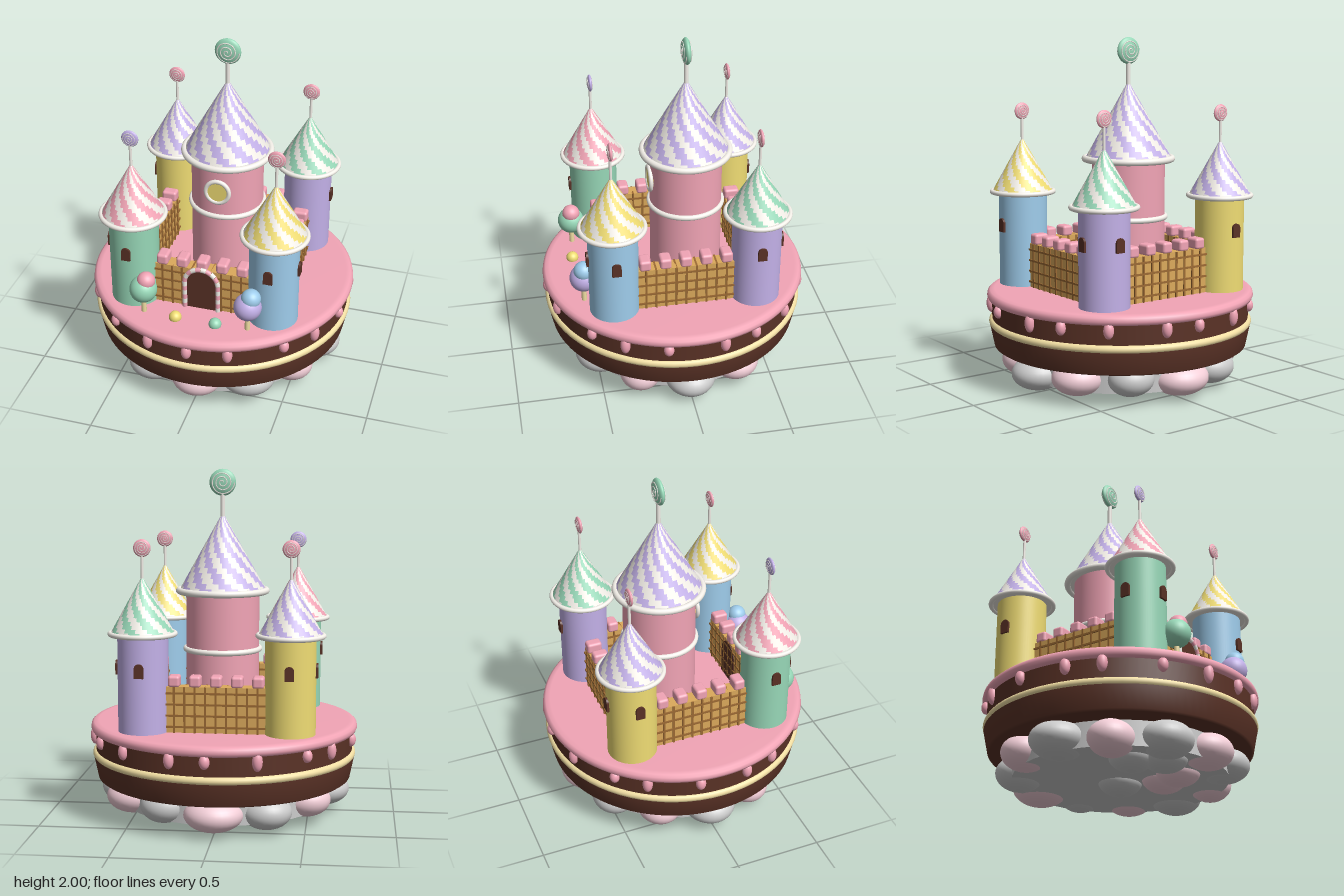
import * as THREE from 'three';
import { mergeGeometries } from 'three/addons/utils/BufferGeometryUtils.js';
import { RoundedBoxGeometry } from 'three/addons/geometries/RoundedBoxGeometry.js';

const C = {
  pink: 0xf2a5b6, mint: 0x98d8b8, blue: 0x9fcdec, purple: 0xc3b1e8, yellow: 0xf0dd74,
  choc: 0x5a3226, cream: 0xf2dfa4, white: 0xf3efe8, waffle: 0xdcaa5c, bar: 0x9c6a34,
  cloudPink: 0xf3cfd8, grey: 0xcccccc,
};

function add(parent, name, geo, color, x = 0, y = 0, z = 0) {
  const mesh = new THREE.Mesh(geo, new THREE.MeshStandardMaterial({ color }));
  mesh.name = name;
  mesh.position.set(x, y, z);
  parent.add(mesh);
  return mesh;
}

function group(parent, name, x = 0, y = 0, z = 0) {
  const g = new THREE.Group();
  g.name = name;
  g.position.set(x, y, z);
  parent.add(g);
  return g;
}

const cyl = (r, h, seg = 48) => new THREE.CylinderGeometry(r, r, h, seg);
const ball = (r) => new THREE.SphereGeometry(r, 32, 20);
const ring = (r, tube) => new THREE.TorusGeometry(r, tube, 14, 72).rotateX(Math.PI / 2);
const lathe = (pts) => new THREE.LatheGeometry(pts.map(([r, y]) => new THREE.Vector2(r, y)), 96);

// Round-topped slab standing on y = 0, its back at z = 0
function archSlab(halfWidth, height, depth) {
  const s = new THREE.Shape();
  s.moveTo(-halfWidth, 0);
  s.lineTo(halfWidth, 0);
  s.lineTo(halfWidth, height - halfWidth);
  s.absarc(0, height - halfWidth, halfWidth, 0, Math.PI, false);
  s.closePath();
  return new THREE.ExtrudeGeometry(s, { depth, bevelEnabled: false, curveSegments: 16 });
}

// Cone split into two meshes of stepped, swirling stripes
function swirlRoof(parent, r, h, y, stripes, color) {
  const cols = 80, rows = 16, twist = 0.33;
  const cone = new THREE.ConeGeometry(r, h, cols, rows, true).toNonIndexed();
  const { position, normal, uv } = cone.attributes;
  const parts = [{ p: [], n: [] }, { p: [], n: [] }];
  for (let i = 0; i < position.count; i += 3) {
    const u = (uv.getX(i) + uv.getX(i + 1) + uv.getX(i + 2)) / 3;
    const v = (uv.getY(i) + uv.getY(i + 1) + uv.getY(i + 2)) / 3;
    const cu = (Math.floor(u * cols) + 0.5) / cols;
    const cv = (Math.floor(v * rows) + 0.5) / rows;
    const k = Math.floor((cu - twist * (1 - cv) + 1) * stripes * 2) % 2;
    for (let j = i; j < i + 3; j++) {
      parts[k].p.push(position.getX(j), position.getY(j), position.getZ(j));
      parts[k].n.push(normal.getX(j), normal.getY(j), normal.getZ(j));
    }
  }
  parts.forEach(({ p, n }, k) => {
    const g = new THREE.BufferGeometry();
    g.setAttribute('position', new THREE.Float32BufferAttribute(p, 3));
    g.setAttribute('normal', new THREE.Float32BufferAttribute(n, 3));
    add(parent, k ? 'roofWhiteStripes' : 'roofColourStripes', g, k ? C.white : color, 0, y + h / 2, 0);
  });
}

// Lens-shaped sweet with a raised spiral on both faces, on a stick
function lollipop(parent, r, thick, y, stickBase, color) {
  const g = group(parent, 'lollipopFinial', 0, y, 0);
  add(g, 'lollipopStick', cyl(r * 0.17, y - stickBase, 12), C.white, 0, (stickBase - y) / 2, 0);
  add(g, 'lollipopSweet', ball(r).scale(1, 1, thick / r), color);
  const pts = [];
  for (let i = 0; i <= 60; i++) {
    const t = i / 60, a = t * Math.PI * 6, q = 0.06 + 0.84 * t;
    pts.push(new THREE.Vector3(Math.cos(a) * q * r, Math.sin(a) * q * r, thick * Math.sqrt(1 - q * q)));
  }
  const swirl = new THREE.TubeGeometry(new THREE.CatmullRomCurve3(pts), 110, r * 0.045, 5);
  add(g, 'lollipopSwirl', swirl, C.white);
  add(g, 'lollipopSwirl', swirl, C.white).rotation.y = Math.PI;
}

// Body, eave ring, swirl roof and finial; o holds the sizes
function tower(root, name, x, z, o) {
  const g = group(root, name, x, 0, z);
  add(g, 'towerBody', cyl(o.r, o.top - 0.54, 64), o.body, 0, (o.top + 0.54) / 2, 0);
  add(g, 'eaveUnderside', cyl(o.eave, 0.01, 64), C.white, 0, o.top, 0);
  add(g, 'eaveRing', ring(o.eave, o.tube), C.white, 0, o.top, 0);
  swirlRoof(g, o.eave, o.roofH, o.top, o.stripes, o.roof);
  lollipop(g, o.popR, o.popThick, o.popY, o.top + o.roofH - 0.03, o.pop);
  return g;
}

// Waffle wall along x with grid bars and rounded battlements
function wall(root, name, x, z, turn) {
  const g = group(root, name, x, 0.55, z);
  g.rotation.y = turn;
  const len = 0.58, h = 0.26, d = 0.08;
  add(g, 'waffleWall', new THREE.BoxGeometry(len, h, d), C.waffle, 0, h / 2, 0);
  const bars = [];
  for (let i = -4; i <= 4; i++) {
    bars.push(new THREE.BoxGeometry(0.011, h, d + 0.014).translate(i * 0.058, h / 2, 0));
  }
  for (let i = 0; i < 4; i++) {
    bars.push(new THREE.BoxGeometry(len, 0.011, d + 0.014).translate(0, 0.035 + i * 0.063, 0));
  }
  add(g, 'waffleGrid', mergeGeometries(bars), C.bar);
  for (let i = -2; i <= 2; i++) {
    add(g, 'battlement', new RoundedBoxGeometry(0.066, 0.065, 0.09, 3, 0.016), C.pink, i * 0.117, h + 0.028, 0);
  }
}

function tree(root, x, z, color, topX, topColor, topR) {
  const g = group(root, 'sweetTree', x, 0.55, z);
  add(g, 'trunk', cyl(0.015, 0.12, 16), C.cream, 0, 0.05, 0);
  add(g, 'crown', ball(0.079), color, 0, 0.155, 0);
  add(g, 'crownTop', ball(topR), topColor, topX, 0.215, 0);
}

export function createModel() {
  const root = new THREE.Group();
  root.name = 'candyCastle';

  // Cloud base
  const clouds = group(root, 'cloudBase');
  add(clouds, 'cloudCore', cyl(0.6, 0.15, 48), C.grey, 0, 0.145, 0);
  for (let i = 0; i < 12; i++) {
    const a = (i * Math.PI) / 6, w = 0.15 + 0.018 * Math.sin(i * 2.3);
    const puff = add(clouds, 'cloudPuff', ball(1), i % 2 ? C.grey : C.cloudPink,
      0.57 * Math.sin(a), 0.135 + 0.015 * Math.sin(i * 1.7), 0.56 * Math.cos(a));
    puff.scale.set(w, 0.098, w * 0.92);
  }
  [[0.04, -0.03, 0], [0.13, 0.2, 1], [0.07, 0.33, 1], [-0.28, 0.26, 0], [-0.17, 0.4, 0]].forEach(([x, z, p]) => {
    add(clouds, 'lowerPuff', ball(1), p ? C.cloudPink : C.grey, x, 0.085, z).scale.set(0.13, 0.08, 0.12);
  });

  // Cake layers
  const cake = group(root, 'cake');
  add(cake, 'lowerCake', lathe([[0, 0.21], [0.725, 0.21], [0.74, 0.22], [0.765, 0.34], [0.75, 0.36], [0, 0.36]]), C.choc);
  add(cake, 'upperCake', cyl(0.752, 0.16, 96), C.choc, 0, 0.43, 0);
  add(cake, 'creamFilling', ring(0.748, 0.023), C.cream, 0, 0.36, 0);
  add(cake, 'icing', lathe([[0, 0.49], [0.752, 0.49], [0.772, 0.497], [0.78, 0.515], [0.776, 0.535],
    [0.762, 0.547], [0.735, 0.552], [0, 0.552]]), C.pink);
  for (let i = 0; i < 18; i++) {
    const a = (i / 18) * Math.PI * 2 + 0.05 * Math.sin(i * 4.1);
    add(cake, 'icingDrip', ball(1), C.pink, 0.755 * Math.sin(a), 0.463, 0.755 * Math.cos(a))
      .scale.set(0.029, 0.046 + 0.009 * Math.sin(i * 2.7), 0.029);
  }

  // Central tower with its band and round window
  const keep = tower(root, 'centralTower', 0, -0.08, {
    r: 0.21, top: 1.31, eave: 0.25, tube: 0.019, roofH: 0.445, stripes: 10,
    body: C.pink, roof: C.purple, pop: C.mint, popR: 0.076, popThick: 0.026, popY: 1.924,
  });
  add(keep, 'towerBand', ring(0.212, 0.016), C.white, 0, 0.975, 0);
  add(keep, 'windowPane', cyl(0.068, 0.04, 40).rotateX(Math.PI / 2), C.yellow, 0, 1.14, 0.2);
  add(keep, 'windowFrame', new THREE.TorusGeometry(0.068, 0.013, 12, 48), C.white, 0, 1.14, 0.214);

  // Corner towers, each with a window on its two outer sides
  [[-1, 1, C.mint, C.pink, C.purple], [1, 1, C.blue, C.yellow, C.pink],
    [1, -1, C.purple, C.mint, C.pink], [-1, -1, C.yellow, C.purple, C.pink]].forEach(([sx, sz, body, roof, pop]) => {
    const t = tower(root, 'cornerTower', sx * 0.41, sz * 0.41, {
      r: 0.141, top: 1.1, eave: 0.18, tube: 0.014, roofH: 0.32, stripes: 8,
      body, roof, pop, popR: 0.049, popThick: 0.015, popY: 1.572,
    });
    [sx * Math.PI / 2, sz > 0 ? 0 : Math.PI].forEach((turn) => {
      const w = add(t, 'towerWindow', archSlab(0.026, 0.08, 0.03), C.choc,
        0.122 * Math.sin(turn), 0.87, 0.122 * Math.cos(turn));
      w.rotation.y = turn;
    });
  });

  // Walls between the corner towers
  wall(root, 'frontWall', 0, 0.41, 0);
  wall(root, 'backWall', 0, -0.41, 0);
  wall(root, 'leftWall', 0.41, 0, Math.PI / 2);
  wall(root, 'rightWall', -0.41, 0, Math.PI / 2);

  // Gate with a striped cane arch
  const gate = group(root, 'gate', 0, 0.55, 0);
  add(gate, 'door', archSlab(0.085, 0.255, 0.095), C.choc, 0, 0, 0.364);
  const R = 0.098, side = 0.17, total = 2 * side + Math.PI * R, n = 22;
  const at = (s) => {
    if (s < side) return new THREE.Vector3(-R, s, 0.46);
    if (s > total - side) return new THREE.Vector3(R, total - s, 0.46);
    const a = Math.PI - (s - side) / R;
    return new THREE.Vector3(R * Math.cos(a), side + R * Math.sin(a), 0.46);
  };
  const stripes = [[], []];
  for (let i = 0; i < n; i++) {
    const pts = [0, 0.5, 1].map((t) => at(((i + t) / n) * total));
    stripes[i % 2].push(new THREE.TubeGeometry(new THREE.CatmullRomCurve3(pts), 4, 0.014, 12));
  }
  stripes.forEach((s, k) => add(gate, 'caneArch', mergeGeometries(s), k ? C.white : C.pink));

  // Front garden
  tree(root, -0.308, 0.57, C.mint, 0.018, C.pink, 0.052);
  tree(root, 0.303, 0.57, C.purple, 0.018, C.blue, 0.056);
  [[-0.115, C.yellow], [0.12, C.mint]].forEach(([x, color]) => {
    add(root, 'gumdrop', ball(0.036), color, x, 0.562, 0.59);
  });
  return root;
}
